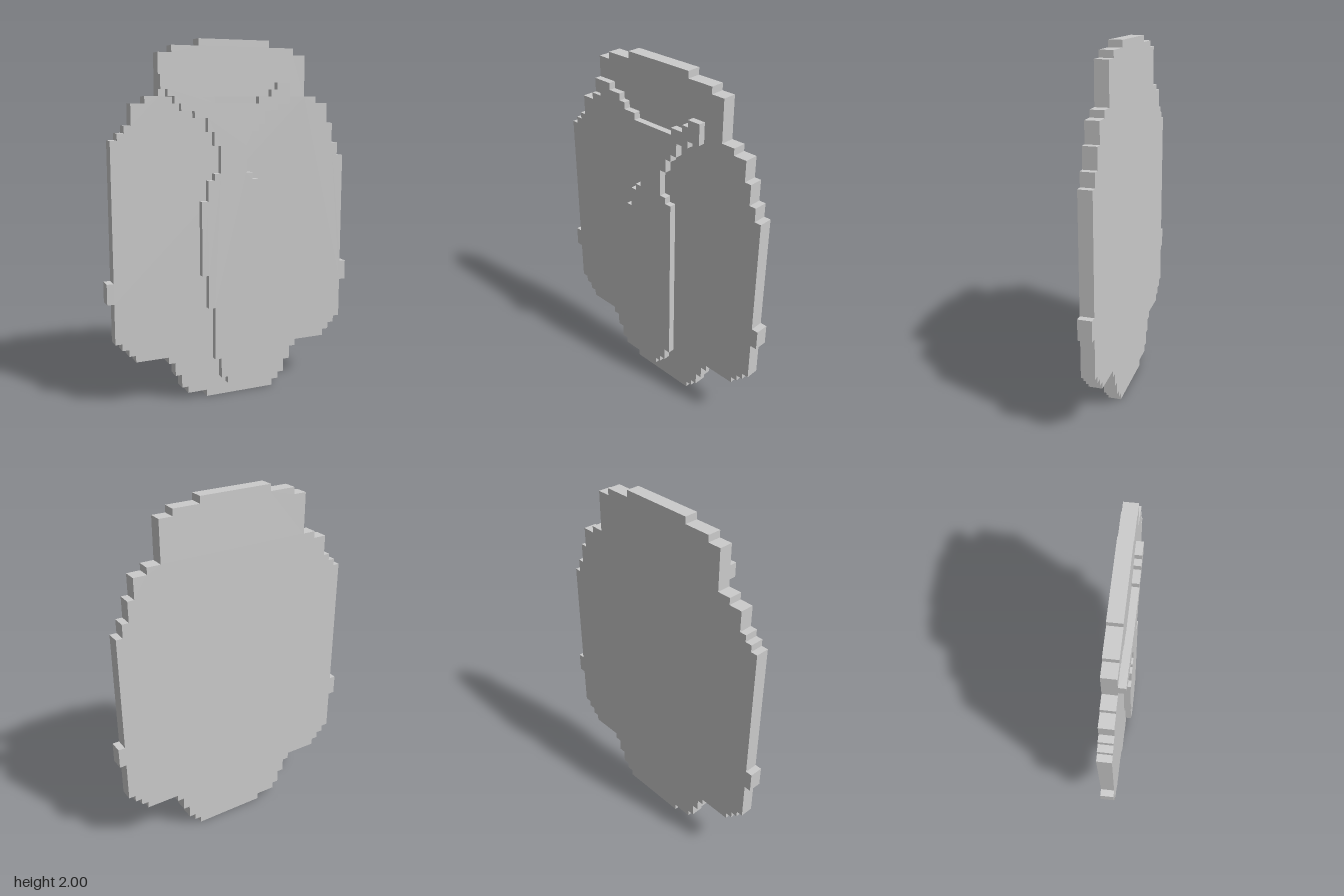
import * as THREE from 'three';

const U = 2 / 53; // size of one grid cell: the model is 39 x 53 x 3 cells

// Stepped outlines, counter-clockwise. Each [column, row] means:
// go sideways to the column, then up or down to the row.
const BODY = [
  // right edge, upwards
  [26, 1], [27, 2], [28, 4], [29, 6], [30, 7], [35, 8], [36, 9], [37, 10], [38, 16],
  [39, 19], [38, 36], [37, 38], [36, 41], [35, 44], [33, 45], [31, 51], [29, 52], [25, 53],
  // left edge, downwards
  [14, 52], [10, 51], [8, 45], [6, 44], [4, 41], [3, 40], [2, 39], [1, 19], [0, 16],
  [1, 10], [2, 9], [3, 8], [4, 7], [9, 6], [10, 4], [11, 2], [12, 1], [15, 0],
];
const PANEL = [
  // right edge, upwards
  [20, 3], [21, 4], [22, 6], [23, 33], [22, 34], [21, 38], [22, 40], [23, 41], [24, 43],
  [26, 44], [28, 47],
  // dipped top edge, towards the left
  [26, 46], [25, 45], [23, 44], [16, 45], [14, 46], [13, 47], [11, 48],
  // left edge, downwards
  [8, 46], [9, 45], [10, 44], [11, 43], [13, 42], [15, 40], [16, 38], [17, 34], [16, 33],
  [15, 30], [14, 19], [15, 14], [16, 6], [17, 3], [18, 2],
];

// Extrudes a stepped outline from cell layer z0 to z1
function steppedPlate(name, steps, z0, z1, material) {
  const points = [];
  let row = steps[steps.length - 1][1];
  for (const [col, nextRow] of steps) {
    const x = (col - 19.5) * U;
    points.push(new THREE.Vector2(x, row * U), new THREE.Vector2(x, nextRow * U));
    row = nextRow;
  }
  const geometry = new THREE.ExtrudeGeometry(new THREE.Shape(points), {
    depth: (z1 - z0) * U,
    bevelEnabled: false,
  });
  geometry.translate(0, 0, (z0 - 1.5) * U);
  const mesh = new THREE.Mesh(geometry, material);
  mesh.name = name;
  return mesh;
}

export function createModel() {
  const group = new THREE.Group();
  group.name = 'steppedPlaque';
  const material = new THREE.MeshStandardMaterial({ color: 0xcccccc, flatShading: true });
  group.add(steppedPlate('backPlate', BODY, 0, 2, material));
  group.add(steppedPlate('raisedFrontPanel', PANEL, 2, 3, material));
  return group;
}
